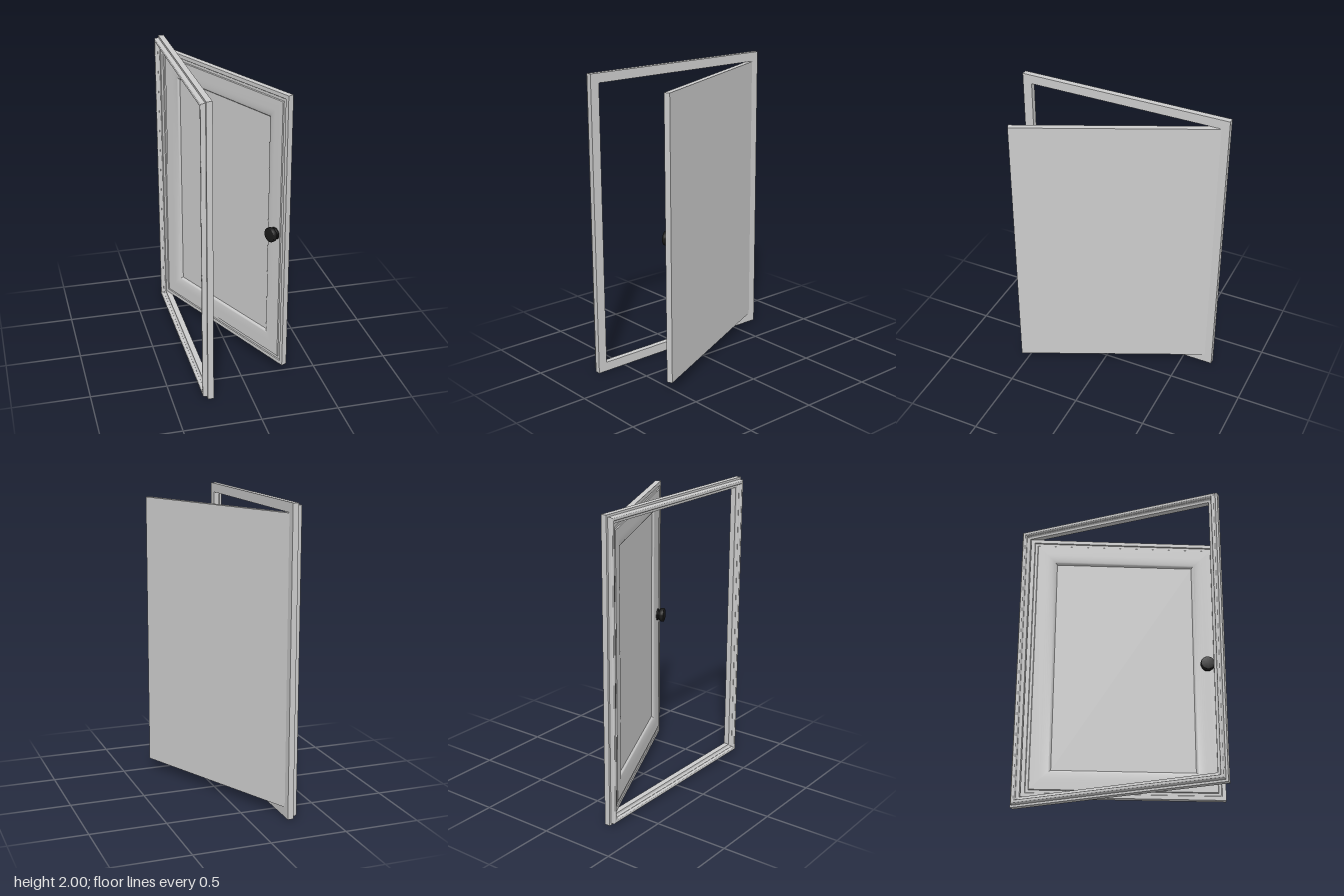
import * as THREE from 'three';
import { toCreasedNormals } from 'three/addons/utils/BufferGeometryUtils.js';

// Mitred rectangular ring: a closed profile of [inset, height] swept round a W x H rectangle.
function mitredRing(width, height, profile) {
  const pos = [];
  const signs = [[-1, -1], [1, -1], [1, 1], [-1, 1]];
  const corner = (s, [inset, h]) =>
    [signs[s % 4][0] * (width / 2 - inset), signs[s % 4][1] * (height / 2 - inset), h];
  profile.forEach((p, j) => {
    const q = profile[(j + 1) % profile.length];
    for (let s = 0; s < 4; s++) {
      const a = corner(s, p), b = corner(s + 1, p), c = corner(s + 1, q), d = corner(s, q);
      pos.push(...a, ...b, ...c, ...a, ...c, ...d);
    }
  });
  const g = new THREE.BufferGeometry();
  g.setAttribute('position', new THREE.Float32BufferAttribute(pos, 3));
  return toCreasedNormals(g, 0.6);
}

// Points on an elliptical arc between two angles (degrees).
function arc(cx, cy, rx, ry, from, to, n = 6) {
  return Array.from({ length: n + 1 }, (_, i) => {
    const t = THREE.MathUtils.degToRad(from + ((to - from) * i) / n);
    return [cx + rx * Math.cos(t), cy + ry * Math.sin(t)];
  });
}

export function createModel() {
  const model = new THREE.Group();
  const grey = new THREE.MeshStandardMaterial({ color: 0xcccccc });
  const black = new THREE.MeshStandardMaterial({ color: 0x1a1a1a });
  const add = (parent, name, geometry, material = grey) => {
    const mesh = new THREE.Mesh(geometry, material);
    mesh.name = name;
    parent.add(mesh);
    return mesh;
  };

  // Outer frame: flat backing with a rounded moulding that steps down to the opening
  const frame = add(model, 'frame', mitredRing(1.42, 2, [
    [0, 0], [0, 0.038], [0.014, 0.038],
    ...arc(0.024, 0.058, 0.01, 0.01, 180, 90),
    ...arc(0.032, 0.058, 0.008, 0.01, 90, 0),
    [0.04, 0.05],
    ...arc(0.062, 0.05, 0.02, 0.012, 180, 270).slice(0, -1),
    [0.062, 0.038], [0.062, 0],
  ]));
  frame.position.set(-0.237, 1, 0);
  frame.rotation.y = -Math.PI / 2;

  // Door, swung open about the hinge edge of the frame
  const door = new THREE.Group();
  door.name = 'door';
  door.position.set(-0.237, 1, -0.658);
  door.rotation.y = -THREE.MathUtils.degToRad(65.6);
  model.add(door);

  const w = 1.3, h = 1.87, t = 0.038, recess = 0.016, border = 0.185;

  // Door surround: narrow groove near the edge, rounded slope down to the panel
  const surround = add(door, 'doorSurround', mitredRing(w, h, [
    [0, 0], [0, t], [0.025, t], [0.029, t - 0.006], [0.046, t - 0.006], [0.05, t],
    ...arc(0.115, recess + 0.004, 0.066, t - recess - 0.004, 90, 0, 8),
    [border, recess], [border, 0],
  ]));
  surround.position.x = w / 2;

  // Recessed centre panel
  const panel = add(door, 'doorPanel',
    new THREE.BoxGeometry(w - 2 * border, h - 2 * border, recess));
  panel.position.set(w / 2, 0, recess / 2);

  // Round knob on a short neck
  const profile = [
    [0, 0], [0.04, 0], [0.04, 0.008], [0.034, 0.014], [0.034, 0.018], [0.043, 0.02],
    ...arc(0.042, 0.028, 0.006, 0.006, -60, 0, 3),
    ...arc(0.04, 0.042, 0.008, 0.009, 0, 90, 4),
    [0, 0.052],
  ].map(([x, y]) => new THREE.Vector2(x, y));
  const knob = add(door, 'knob',
    toCreasedNormals(new THREE.LatheGeometry(profile, 32), 0.6), black);
  knob.rotation.x = Math.PI / 2;
  knob.position.set(1.204, 0, t);

  return model;
}
